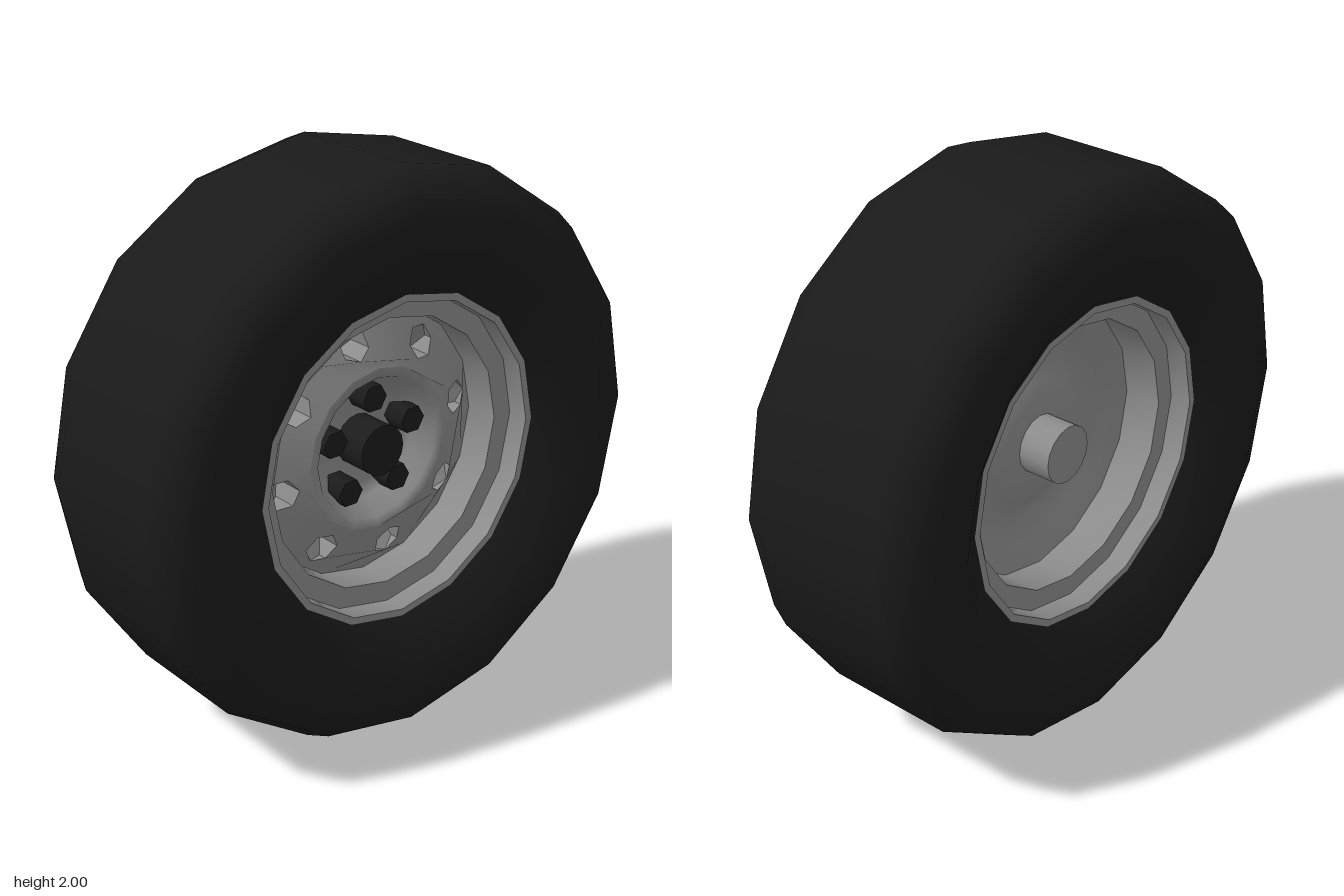
import * as THREE from 'three';
import { toCreasedNormals } from 'three/addons/utils/BufferGeometryUtils.js';

const SIDES = 16;
const rubber = new THREE.MeshStandardMaterial({ color: 0x1a1a1a, roughness: 0.9 });
const steel = new THREE.MeshStandardMaterial({ color: 0x8c8c8c });
const black = new THREE.MeshStandardMaterial({ color: 0x1c1c1c });

export function createModel() {
  const wheel = new THREE.Group();
  wheel.name = 'wheel';

  function add(name, geometry, material) {
    const mesh = new THREE.Mesh(geometry, material);
    mesh.name = name;
    wheel.add(mesh);
    return mesh;
  }

  // Profiles are [radius, distance along the axle]; the axle runs along x
  function lathe(profile) {
    const points = profile.map(([r, a]) => new THREE.Vector2(r, a));
    return new THREE.LatheGeometry(points, SIDES).rotateZ(-Math.PI / 2);
  }
  const mirrored = (profile) => profile.map(([r, a]) => [r, -a]).reverse();

  function rod(radius, from, to, sides) {
    return new THREE.CylinderGeometry(radius, radius, to - from, sides)
      .rotateZ(-Math.PI / 2).translate((from + to) / 2, 0, 0);
  }

  // Tyre with rounded shoulders and sidewalls falling in to the rim
  const shoulder = [[1, 0.24], [0.96, 0.335], [0.865, 0.375], [0.71, 0.365], [0.58, 0.28]];
  add('tyre', lathe([...mirrored(shoulder), ...shoulder]), rubber);

  // Stepped rim on both sides
  const rim = [[0.58, 0.28], [0.555, 0.28], [0.555, 0.2], [0.48, 0.2], [0.48, 0.06]];
  add('outerRim', toCreasedNormals(lathe(rim), 0.6), steel);
  add('innerRim', toCreasedNormals(lathe(mirrored(rim)), 0.6), steel);

  // Conical ring of the wheel disc, pierced by eight hexagonal vents
  const R = 0.48, r = 0.29, rise = 0.08;
  const coneX = (radius) => 0.07 + rise * (R - radius) / (R - r);
  const polygon = (radius, n, cx = 0, cy = 0, turn = 0) =>
    Array.from({ length: n }, (_, i) => {
      const a = turn + (i / n) * Math.PI * 2;
      return new THREE.Vector2(cx + radius * Math.cos(a), cy + radius * Math.sin(a));
    });
  const vents = Array.from({ length: 8 }, (_, i) => {
    const a = (i + 0.25) * Math.PI / 4;
    return polygon(0.057, 6, 0.385 * Math.cos(a), 0.385 * Math.sin(a), a);
  });

  const shape = new THREE.Shape(polygon(R, SIDES));
  for (const hole of [polygon(r, SIDES), ...vents]) shape.holes.push(new THREE.Path(hole));
  const ring = new THREE.ShapeGeometry(shape);
  const pos = ring.attributes.position, nor = ring.attributes.normal;
  for (let i = 0; i < pos.count; i++) {
    const u = pos.getX(i), v = pos.getY(i), radius = Math.hypot(u, v);
    const n = new THREE.Vector3(R - r, rise * v / radius, -rise * u / radius).normalize();
    pos.setXYZ(i, coneX(radius), v, -u);
    nor.setXYZ(i, n.x, n.y, n.z);
  }
  add('discRing', ring, steel);

  // Vent pockets: the floor starts at the outer edge and deepens toward the hub
  const floorX = (radius) => coneX(0.442) - 0.7 * (0.442 - radius) - 0.002;
  vents.forEach((hex) => {
    const top = hex.map((p) => [coneX(p.length()), p.y, -p.x]);
    const floor = hex.map((p) => [floorX(p.length()), p.y, -p.x]);
    const corners = [];
    for (let i = 0; i < 6; i++) {
      const j = (i + 1) % 6;
      corners.push(top[i], top[j], floor[j], top[i], floor[j], floor[i]);
      if (i > 0 && i < 5) corners.push(floor[0], floor[i], floor[j]);
    }
    const pocket = new THREE.BufferGeometry();
    pocket.setAttribute('position', new THREE.Float32BufferAttribute(corners.flat(), 3));
    pocket.computeVertexNormals();
    add('ventPocket', pocket, steel);
  });

  // Recessed hub bowl and the bulging back of the disc
  add('hubBowl', lathe([[r, coneX(r)], [0.255, 0.145], [0.21, 0.07], [0.17, 0.04], [0, 0.035]]), steel);
  add('discBack', lathe([[0, -0.06], [0.17, -0.055], [0.23, -0.03], [0.3, 0], [0.38, -0.03], [R, -0.06]]), steel);

  // Hub cap, axle stub and five wheel nuts
  add('hubCap', rod(0.09, 0.02, 0.17, SIDES), black);
  add('axleStub', rod(0.105, -0.18, -0.04, SIDES), steel);
  for (let i = 0; i < 5; i++) {
    const a = i * Math.PI * 2 / 5;
    const nut = add('wheelNut', rod(0.05, 0.02, 0.13, 6), black);
    nut.position.set(0, 0.175 * Math.cos(a), 0.175 * Math.sin(a));
  }

  wheel.position.y = 1;
  const model = new THREE.Group();
  model.add(wheel);
  return model;
}
